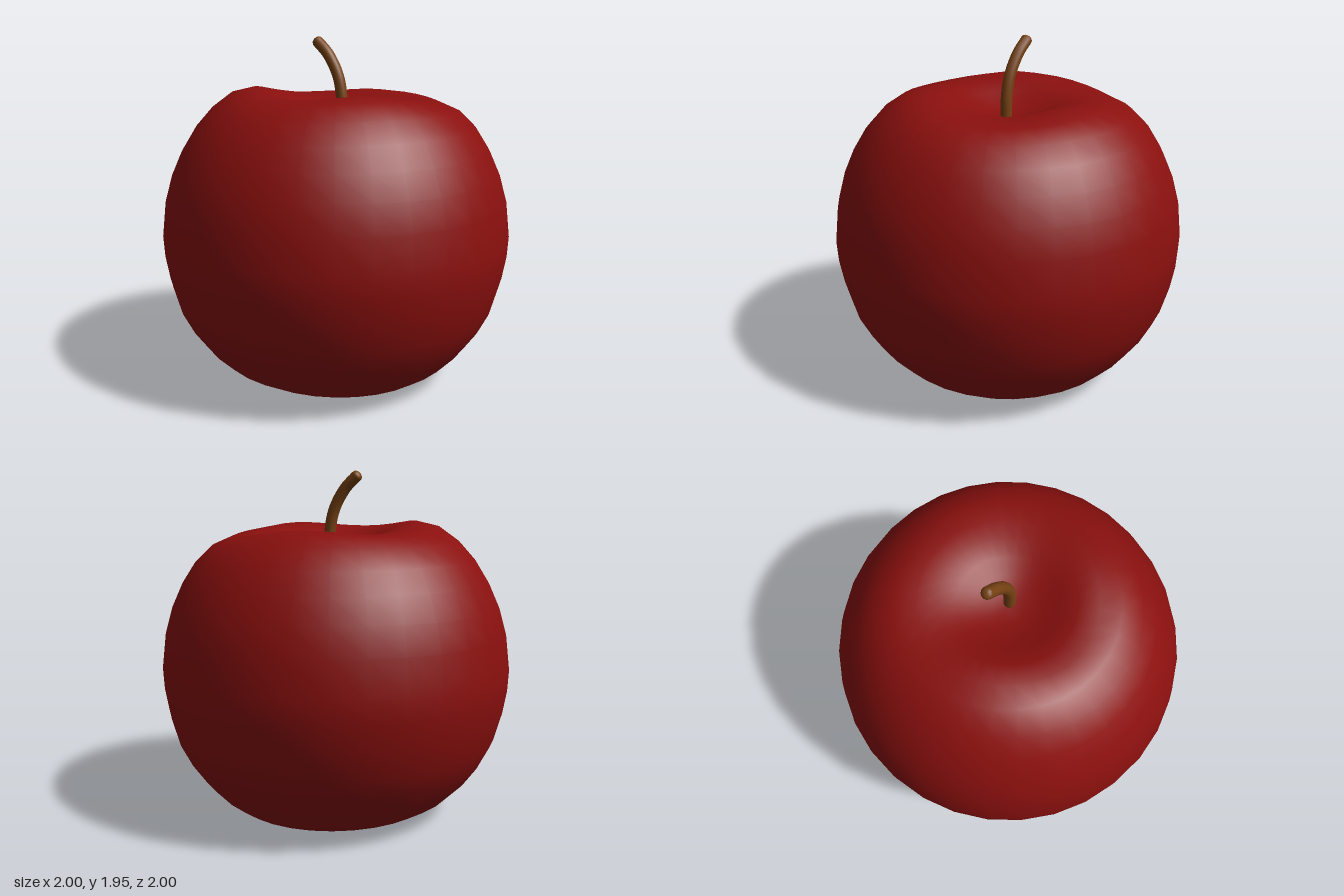
import * as THREE from 'three';
import { mergeVertices } from 'three/addons/utils/BufferGeometryUtils.js';

// Half outline of the fruit (radius, height), bottom dimple to top dimple
const PROFILE = [
  [0, 0.14], [0.1, 0.13], [0.2, 0.1], [0.3, 0.058], [0.39, 0.03], [0.48, 0.02],
  [0.59, 0.05], [0.685, 0.11], [0.78, 0.205], [0.86, 0.315], [0.925, 0.44],
  [0.97, 0.6], [0.993, 0.73], [1, 0.85], [0.977, 1.05], [0.935, 1.2],
  [0.875, 1.335], [0.8, 1.455], [0.705, 1.555], [0.59, 1.622], [0.47, 1.638],
  [0.36, 1.625], [0.27, 1.59], [0.18, 1.55], [0.09, 1.528], [0, 1.52],
];

function createBody() {
  const points = PROFILE.map(([r, y]) => new THREE.Vector2(r, y));
  let geometry = new THREE.LatheGeometry(points, 32);
  const pos = geometry.attributes.position;

  // Three soft lobes and a slight tilt on the top rim, a slight tilt on the base
  for (let i = 0; i < pos.count; i++) {
    const x = pos.getX(i), y = pos.getY(i), z = pos.getZ(i);
    const angle = Math.atan2(z, x);
    const weight = Math.exp(-(((Math.hypot(x, z) - 0.47) / 0.2) ** 2));
    const lift = y > 0.85
      ? 0.02 * Math.cos(3 * (angle - Math.PI * 5 / 6)) + 0.024 * Math.sin(angle) - 0.01 * Math.cos(angle)
      : 0.012 * (Math.sin(angle) - Math.cos(angle));
    pos.setY(i, y + weight * lift);
  }

  // Weld the seam so the shading is smooth all round
  geometry.deleteAttribute('normal');
  geometry.deleteAttribute('uv');
  geometry = mergeVertices(geometry);
  geometry.computeVertexNormals();

  const body = new THREE.Mesh(geometry, new THREE.MeshStandardMaterial({ color: 0x8a100e }));
  body.name = 'fruitBody';
  return body;
}

function createStem() {
  const stem = new THREE.Group();
  stem.name = 'stem';
  const material = new THREE.MeshStandardMaterial({ color: 0x774213 });
  const radius = 0.033;
  const path = new THREE.CatmullRomCurve3([
    [0.03, 1.5], [0.027, 1.64], [0, 1.75], [-0.065, 1.86], [-0.135, 1.927],
  ].map(([x, y]) => new THREE.Vector3(x, y, -0.015)));

  // Curved stalk
  const stalk = new THREE.Mesh(new THREE.TubeGeometry(path, 20, radius, 12), material);
  stalk.name = 'stalk';

  // Rounded end, turned to follow the stalk
  const tip = new THREE.Mesh(
    new THREE.SphereGeometry(radius, 12, 6, 0, Math.PI * 2, 0, Math.PI / 2), material);
  tip.name = 'stalkTip';
  tip.scale.y = 0.75;
  tip.position.copy(path.getPoint(1));
  tip.quaternion.setFromUnitVectors(new THREE.Vector3(0, 1, 0), path.getTangent(1));

  stem.add(stalk, tip);
  return stem;
}

export function createModel() {
  const model = new THREE.Group();
  model.name = 'apple';
  model.add(createBody(), createStem());
  return model;
}
